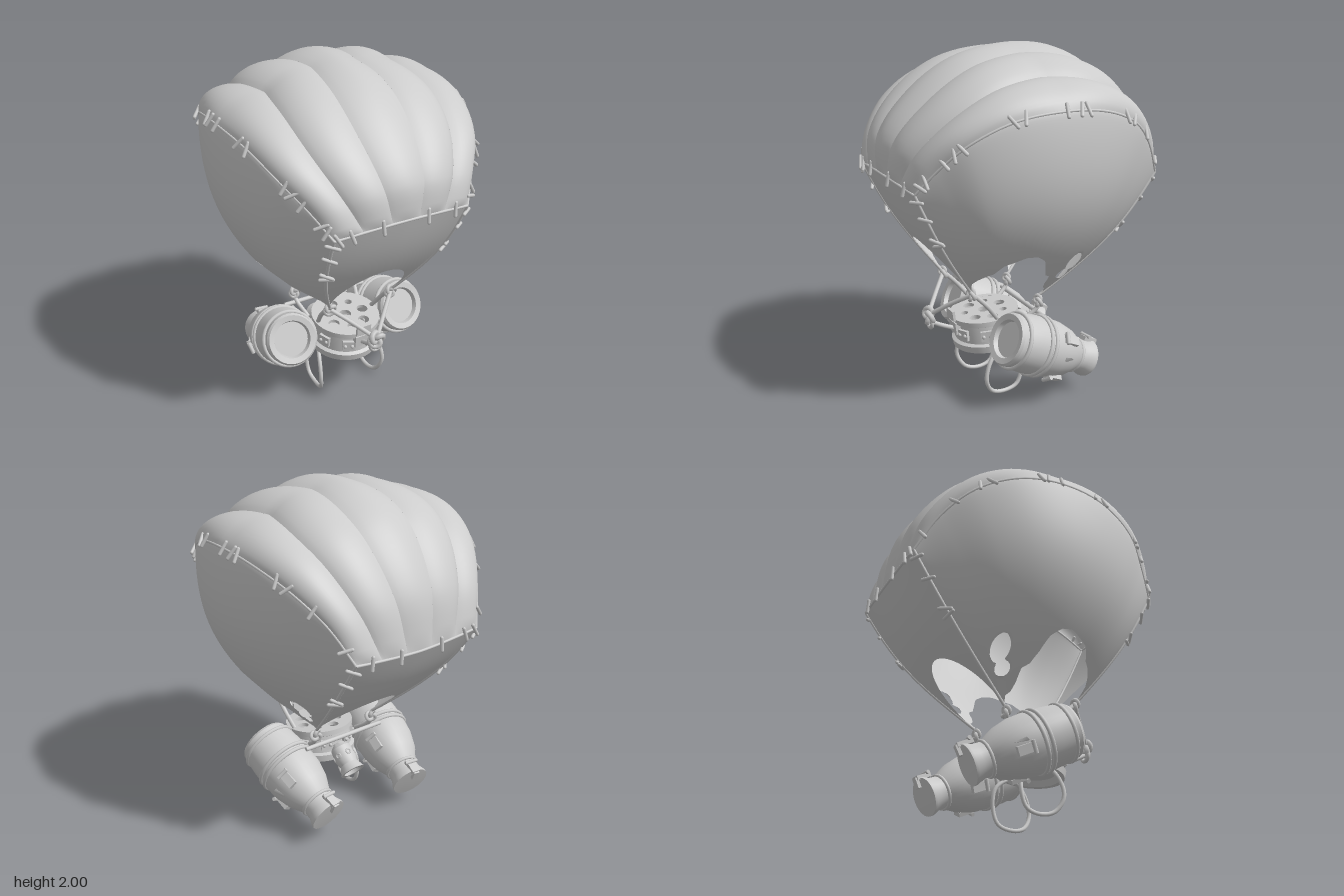
import * as THREE from 'three';
import { toCreasedNormals } from 'three/addons/utils/BufferGeometryUtils.js';

const V = (x, y, z) => new THREE.Vector3(x, y, z);
const grey = new THREE.MeshStandardMaterial({ color: 0xcccccc });
const cloth = new THREE.MeshStandardMaterial({ color: 0xcccccc, side: THREE.DoubleSide });
const { sin, cos, PI, abs, pow, max } = Math;
const hump = (t, p = 1) => pow(max(0, sin(PI * t)), p);

function add(parent, name, geo, mat = grey) {
  const m = new THREE.Mesh(geo, mat);
  m.name = name;
  parent.add(m);
  return m;
}
const curve = (pts, closed = false) => new THREE.CatmullRomCurve3(pts.map(p => V(...p)), closed);
const rope = (g, name, pts, r = 0.012, closed = false) =>
  add(g, name, new THREE.TubeGeometry(curve(pts, closed), 40, r, 8, closed));
const lathe = (prof, sides, crease) => toCreasedNormals(
  new THREE.LatheGeometry(prof.map(p => new THREE.Vector2(...p)), sides), crease);
function lerpTable(a, u) {
  const f = Math.min(u * (a.length - 1), a.length - 1.0001), i = Math.floor(f);
  return a[i] + (a[i + 1] - a[i]) * (f - i);
}

// Grid surface from a rule; holes are ellipses [z, y, rz, ry] cut into it
function patch(fn, nu, nv, flip = false, holes = []) {
  const pos = [], idx = [], cut = [];
  for (let j = 0; j <= nv; j++) for (let i = 0; i <= nu; i++) {
    const p = fn(i / nu, j / nv);
    let inside = false;
    for (const [z, y, rz, ry] of holes) {
      const a = (p.z - z) / rz, b = (p.y - y) / ry, d = Math.hypot(a, b);
      if (d < 1 && !inside) {
        inside = true;
        p.z = z + a / (d || 1) * rz;
        p.y = y + b / (d || 1) * ry;
      }
    }
    cut.push(inside);
    pos.push(p.x, p.y, p.z);
  }
  const tri = (a, b, c) => {
    if (cut[a] && cut[b] && cut[c]) return;
    if (flip) idx.push(a, c, b); else idx.push(a, b, c);
  };
  for (let j = 0; j < nv; j++) for (let i = 0; i < nu; i++) {
    const a = j * (nu + 1) + i, b = a + 1, c = a + nu + 1, d = c + 1;
    tri(a, c, b); tri(b, c, d);
  }
  const g = new THREE.BufferGeometry();
  g.setAttribute('position', new THREE.Float32BufferAttribute(pos, 3));
  g.setIndex(idx);
  g.computeVertexNormals();
  return g;
}

// Canopy guide lines, running front to back: the crown and the side edge
const crown = curve([[0, 1.35, .745], [0, 1.54, .72], [0, 1.76, .53], [0, 1.92, .28], [0, 1.975, 0],
  [0, 1.95, -.25], [0, 1.84, -.47], [0, 1.56, -.69], [0, 1.26, -.755]]);
const edge = curve([[.4, 1.32, .71], [.48, 1.45, .62], [.58, 1.59, .49], [.65, 1.7, .27], [.68, 1.735, 0],
  [.66, 1.71, -.25], [.59, 1.62, -.47], [.49, 1.47, -.63], [.4, 1.28, -.74]]);

function canopyPoint(s, v) {
  const c = crown.getPoint(v), e = edge.getPoint(v), a = abs(s);
  const p = c.clone().lerp(e, pow(a, 1.55));
  p.x = e.x * s * (1 + .4 * (1 - a) * abs(sin(2 * PI * v)));
  const gore = (s + 1) * 2.5;
  const b = hump(gore - Math.floor(gore), .8) * hump(v, .3) * (a > .6 ? .05 : a > .2 ? .035 : .025);
  return p.addScaledVector(V(p.x, p.y - 1.25, p.z).normalize(), b);
}
const tieFront = V(.2, .66, .31), tieBack = V(.2, .58, -.12);
const sideTear = [1, .88, .84, .815, .8, .75, .735, .715, .72, .75, .81, .85, .86, .91, .94, .95, 1];

function sidePoint(u, t) {
  const p = edge.getPoint(u).lerp(tieFront.clone().lerp(tieBack, u), t);
  p.x += .05 * hump(t) + .17 * hump(pow(t, 1.2), .7) * hump(u, .8);
  p.z += hump(t) * (u < .5 ? .03 : .05) * cos(PI * u);
  return p;
}
function endPoint(s, t, front) {
  const tie = front ? tieFront : tieBack, p = canopyPoint(s, front ? 0 : 1);
  p.lerp(V(tie.x * s, tie.y, tie.z), t);
  p.x += .05 * s * hump(t);
  p.z += (front ? 1 : -1) * hump(t) * ((front ? .03 : .05) + .025 * (1 - s * s));
  return p;
}

// Short cords laid across a seam
function stitches(g, name, at, list) {
  for (const u of list) {
    const p = at(u), tan = at(u + .01).sub(at(u - .01)).normalize();
    const out = V(p.x, (p.y - 1.2) * .8, p.z).normalize();
    const across = tan.clone().cross(out).addScaledVector(tan, .45 * sin(u * 57)).normalize();
    const m = add(g, name, new THREE.CapsuleGeometry(.01, .07, 3, 8));
    m.position.copy(p).addScaledVector(out, .012);
    m.quaternion.setFromUnitVectors(V(0, 1, 0), across);
  }
}

function buildBalloon() {
  const g = new THREE.Group();
  g.name = 'balloon';
  for (let k = 0; k < 5; k++)
    add(g, 'canopyGore', patch((u, v) => canopyPoint(-1 + .4 * (k + .0001 + u * .9998), v), 12, 48, true), cloth);
  for (const m of [1, -1]) {
    const mir = p => (p.x *= m, p);
    add(g, m > 0 ? 'leftPanel' : 'rightPanel', patch((u, t) => mir(sidePoint(u, t * lerpTable(sideTear, u))),
      80, 70, m < 0, [[-.23, .82, .05, .065], [-.19, .735, .04, .036]]), cloth);
    const sideSeam = u => mir(edge.getPoint(THREE.MathUtils.clamp(u, 0, 1)));
    rope(g, 'sideSeam', Array.from({ length: 25 }, (_, i) => sideSeam(i / 24).toArray()), .007);
    stitches(g, 'sideStitch', sideSeam, [.04, .07, .16, .2, .23, .37, .4, .5, .54, .56, .7, .735, .82, .95]);
    for (const u of [0, 1]) {
      const corner = t => mir(sidePoint(u, t));
      rope(g, 'cornerSeam', Array.from({ length: 13 }, (_, i) => corner(i / 12).toArray()), .009);
      stitches(g, 'cornerStitch', corner, [.06, .21, .41, .45]);
    }
  }
  for (const front of [true, false]) {
    const f = (u, t) => endPoint(2 * u - 1, t * (1 - (front ? .43 : .41) * hump(u, .7)), front);
    add(g, front ? 'frontPanel' : 'backPanel', patch(f, 48, 40, !front), cloth);
    const seam = u => endPoint(2 * u - 1, 0, front);
    rope(g, 'endSeam', Array.from({ length: 17 }, (_, i) => seam(i / 16).toArray()), .008);
    stitches(g, 'endStitch', seam, [.03, .12, .33, .66, .88]);
  }
  return g;
}

function buildBarrel(m) {
  const g = new THREE.Group();
  g.name = m > 0 ? 'leftBarrel' : 'rightBarrel';
  const a = V(.37 * m, .43, .185), b = V(.3 * m, .175, -.375);
  const y = b.clone().sub(a).normalize(), z = V(0, 1, 0).addScaledVector(y, -y.y).normalize();
  g.setRotationFromMatrix(new THREE.Matrix4().makeBasis(y.clone().cross(z), y, z));
  g.position.copy(a);
  // Barrel body along local y, top towards local z
  add(g, 'barrelBody', lathe([[0, .03], [.1, .03], [.108, .005], [.14, 0], [.15, .015], [.15, .05], [.158, .06],
    [.166, .14], [.168, .24], [.163, .33], [.14, .42], [.105, .49], [.092, .51], [.094, .56], [.11, .6], [.11, .615], [0, .62]], 32, .5));
  for (const [d, r] of [[.055, .156], [.2, .168], [.235, .168]])
    add(g, 'barrelHoop', new THREE.TorusGeometry(r, .012, 8, 36).rotateX(PI / 2)).position.y = d;
  add(g, 'neckRing', new THREE.TorusGeometry(.095, .01, 8, 28).rotateX(PI / 2)).position.y = .51;
  // Clasps around the body, marker on the outer side
  for (const ang of [.9, 2.6, 4.4]) {
    const clasp = new THREE.Group();
    clasp.name = 'clasp';
    add(clasp, 'claspPlate', new THREE.BoxGeometry(.05, .1, .025)).position.set(0, .35, .16);
    add(clasp, 'claspPin', new THREE.CylinderGeometry(.012, .012, .07, 8).rotateZ(PI / 2)).position.set(0, .31, .178);
    clasp.rotation.y = ang;
    g.add(clasp);
  }
  add(g, 'marker', new THREE.ConeGeometry(.03, .07, 3)).position.set(.15 * m, .36, 0);
  // Lid latch on the neck
  add(g, 'lidLatch', new THREE.BoxGeometry(.05, .09, .025)).position.set(0, .585, .11);
  add(g, 'latchHook', new THREE.BoxGeometry(.035, .02, .06)).position.set(0, .63, .085);
  add(g, 'latchPin', new THREE.CylinderGeometry(.011, .011, .08, 8).rotateZ(PI / 2)).position.set(0, .56, .125);
  return g;
}

function buildBasket() {
  const g = new THREE.Group();
  g.name = 'basket';
  g.position.set(0, .37, .13);
  g.rotation.x = .12;
  // Open-bottomed drum with rims
  add(g, 'drum', lathe([[.15, -.06], [.175, -.09], [.2, -.09], [.205, -.05], [.185, -.04], [.18, .06],
    [.2, .07], [.2, .1], [.17, .1]], 36, .5), cloth);
  // Pierced lid
  const lid = new THREE.Shape().absarc(0, 0, .18, 0, PI * 2);
  for (let i = 0; i < 7; i++) {
    const a = i / 7 * PI * 2;
    lid.holes.push(new THREE.Path().absarc(cos(a) * .115, sin(a) * .115, i % 2 ? .022 : .032, 0, PI * 2, true));
  }
  lid.holes.push(new THREE.Path().absarc(0, 0, .035, 0, PI * 2, true));
  add(g, 'lid', new THREE.ExtrudeGeometry(lid, { depth: .02, bevelEnabled: false, curveSegments: 16 }).rotateX(-PI / 2)).position.y = .075;
  add(g, 'floor', new THREE.CylinderGeometry(.16, .16, .02, 32)).position.y = -.05;
  for (let i = 0; i < 8; i++) {
    const s = new THREE.Group();
    s.name = 'wallPlate';
    s.rotation.y = (i + .5) / 8 * PI * 2;
    add(s, 'plate', new THREE.BoxGeometry(.07, .06, .02)).position.set(0, .01, .186);
    for (const x of [-.02, .02]) add(s, 'rivet', new THREE.SphereGeometry(.011, 8, 6)).position.set(x, .01, .198);
    g.add(s);
  }
  // Front bracket
  add(g, 'bracket', new THREE.BoxGeometry(.09, .07, .03)).position.set(0, .045, .19);
  add(g, 'bracketTab', new THREE.BoxGeometry(.09, .06, .015)).position.set(0, .125, .205);
  return g;
}

function buildBurner() {
  const g = new THREE.Group();
  g.name = 'burner';
  g.position.set(0, .325, -.13);
  g.rotation.x = .9;
  add(g, 'burnerTube', lathe([[.055, -.09], [.075, -.09], [.055, -.04], [.065, 0], [.06, .07], [.035, .1]], 20, .6), cloth);
  for (let i = 0; i < 6; i++) {
    const a = i / 6 * PI * 2;
    add(g, 'vent', new THREE.TorusGeometry(.014, .005, 6, 12).rotateY(a)).position.set(sin(a) * .064, .02, cos(a) * .064);
  }
  return g;
}

function buildRigging() {
  const g = new THREE.Group();
  g.name = 'rigging';
  const knot = (x, y, z, s) => add(g, 'knot', new THREE.TorusKnotGeometry(.022 * s, .012 * s, 48, 6)).position.set(x, y, z);
  knot(0, .485, .485, 1.35);
  add(g, 'hubRing', new THREE.TorusGeometry(.035, .012, 8, 20)).position.set(0, .45, .48);
  rope(g, 'tether', [[0, .45, .48], [0, .41, .4], [0, .37, .3]], .013);
  for (const m of [1, -1]) {
    knot(.2 * m, .65, .31, 1);
    knot(.2 * m, .54, -.11, 1);
    rope(g, 'frontRope', [[.2 * m, .65, .31], [.1 * m, .575, .4], [0, .49, .49]], .013);
    rope(g, 'hangingRope', [[.2 * m, .65, .3], [.2 * m, .57, .22], [.18 * m, .47, .14]], .013);
    rope(g, 'backRope', [[.2 * m, .57, -.12], [.2 * m, .5, -.1], [.17 * m, .42, 0]], .013);
    // Hanging foot loops
    rope(g, 'footLoop', [[.17 * m, .3, .1], [.2 * m, .23, .19], [.21 * m, .12, .225], [.19 * m, .035, .18], [.18 * m, .014, .1],
      [.18 * m, .04, .02], [.18 * m, .13, -.012], [.17 * m, .24, 0]], .012, true);
  }
  add(g, 'crossbar', new THREE.CylinderGeometry(.013, .013, .54, 12).rotateZ(PI / 2)).position.set(0, .47, -.11);
  return g;
}

export function createModel() {
  const model = new THREE.Group();
  model.name = 'balloonGlider';
  model.add(buildBalloon(), buildBasket(), buildBurner(), buildRigging(), buildBarrel(1), buildBarrel(-1));
  return model;
}
